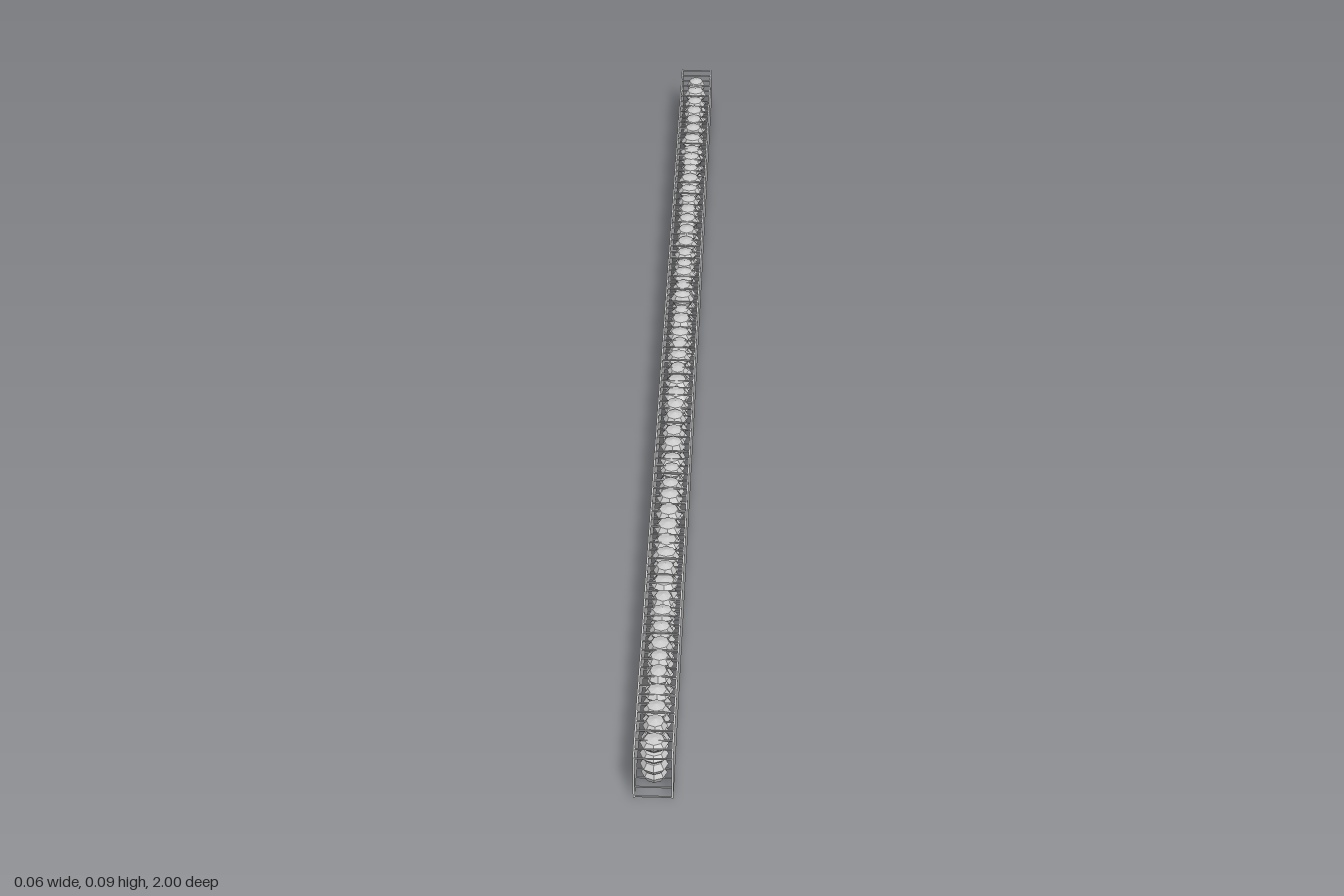
import * as THREE from 'three';

export function createModel() {
  const model = new THREE.Group();
  const material = new THREE.MeshStandardMaterial({ color: 0xcccccc, flatShading: true });

  // seeded random numbers, so every build is the same
  let seed = 17;
  const random = (min, max) => {
    seed = (seed * 16807) % 2147483647;
    return min + (max - min) * seed / 2147483647;
  };

  const add = (parent, geometry, name, x, y, z) => {
    const mesh = new THREE.Mesh(geometry, material);
    mesh.name = name;
    mesh.position.set(x, y, z);
    parent.add(mesh);
    return mesh;
  };

  // two long side panels
  const panel = new THREE.BoxGeometry(0.003, 0.08, 2);
  add(model, panel, 'leftPanel', 0.0285, 0.05, 0);
  add(model, panel, 'rightPanel', -0.0285, 0.05, 0);

  // cross ties between the panels, along the top and the bottom
  const ties = new THREE.Group();
  ties.name = 'crossTies';
  const tie = new THREE.BoxGeometry(0.054, 0.002, 0.002);
  const tieCount = 100;
  for (let i = 0; i <= tieCount; i++) {
    const z = -0.999 + 1.998 * i / tieCount;
    for (const y of [0.012, 0.088]) add(ties, tie, 'crossTie', 0, y, z);
  }
  model.add(ties);

  // four courses of faceted filling stones, each of a slightly different size
  const stones = new THREE.Group();
  stones.name = 'stoneFilling';
  const stone = new THREE.SphereGeometry(1, 8, 4);
  const stoneCount = 54;
  for (let row = 0; row < 4; row++) {
    for (let i = 0; i < stoneCount; i++) {
      const z = -0.955 + 1.91 * i / (stoneCount - 1) + random(-0.004, 0.004);
      const mesh = add(stones, stone, 'stone', 0, 0.02 + 0.02 * row, z);
      mesh.scale.set(random(0.018, 0.022), random(0.01, 0.016), random(0.017, 0.023));
    }
  }
  model.add(stones);

  return model;
}
